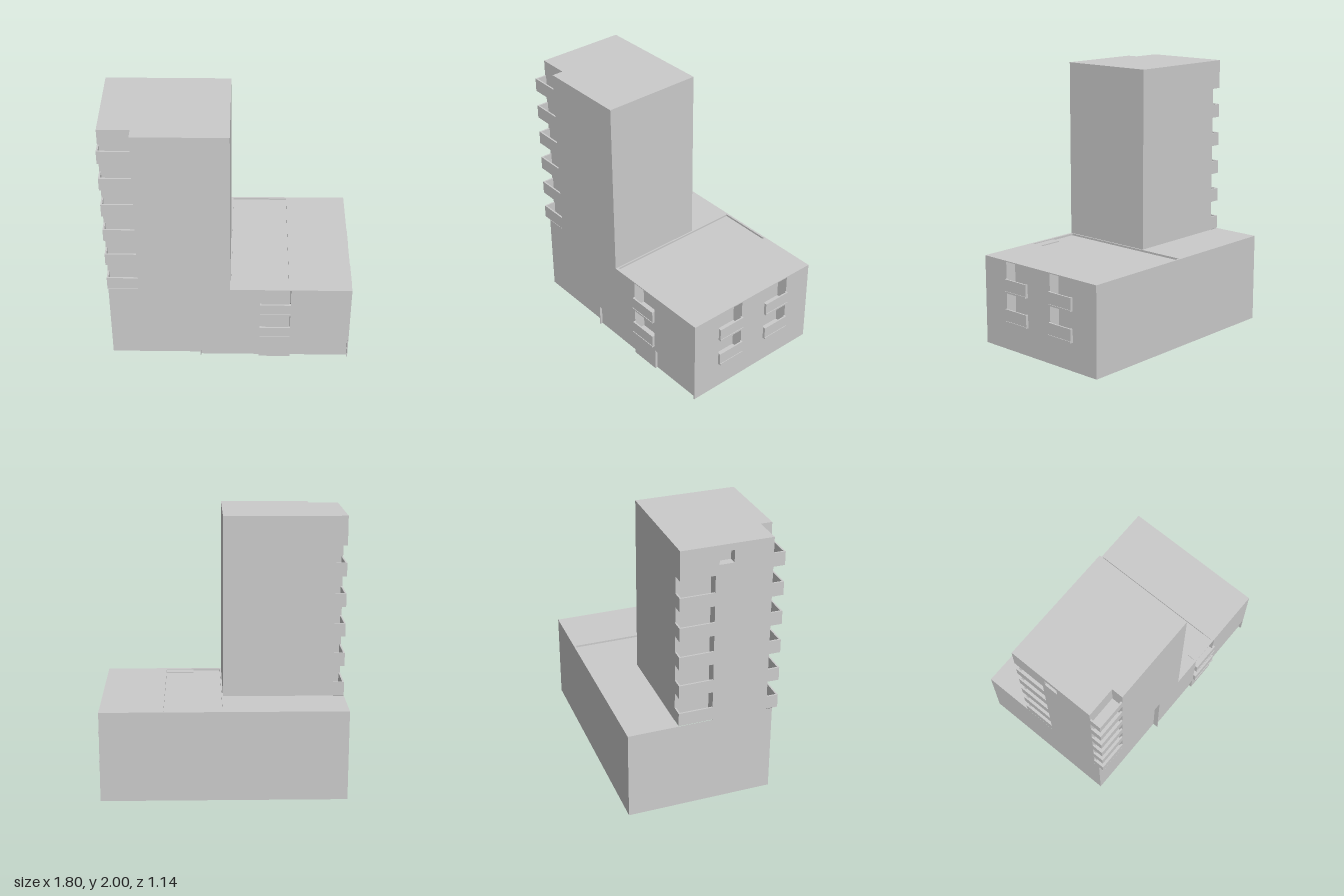
import * as THREE from 'three';

const material = new THREE.MeshStandardMaterial({ color: 0xcccccc, flatShading: true, side: THREE.DoubleSide });
const FACES = ['right', 'left', 'top', 'bottom', 'front', 'back'];

// main dimensions
const L = -0.905, R = 0.873, FRONT = 0.545, BACK = -0.57, ROOF = 0.667, TOP = 2;
const TX = -0.015, TZ = -0.2;             // tower's inner side and back
const NX = -0.68, NZ = 0.46;              // front corner notch
const BX = -0.825, BZ = 0.05, BTOP = 1.785; // rear corner notch
const SET = 0.505;                        // set-back ground-floor wall
const DEPTH = 0.085;

export function createModel() {
  const model = new THREE.Group();

  const add = (name, geometry, parent = model) => {
    const mesh = new THREE.Mesh(geometry, material);
    mesh.name = name;
    parent.add(mesh);
    return mesh;
  };

  // box given by its limits; keeps only the listed faces (all if none given)
  const box = (name, x0, x1, y0, y1, z0, z1, keep = FACES, parent = model) => {
    const g = new THREE.BoxGeometry(x1 - x0, y1 - y0, z1 - z0);
    g.translate((x0 + x1) / 2, (y0 + y1) / 2, (z0 + z1) / 2);
    const index = Array.from(g.index.array);
    g.setIndex(index.filter((_, i) => keep.includes(FACES[Math.floor(i / 6)])));
    g.clearGroups();
    return add(name, g, parent);
  };

  const rect = (a0, a1, b0, b1) => [[a0, b0], [a1, b0], [a1, b1], [a0, b1]];
  const toPoints = (list) => list.map(([a, b]) => new THREE.Vector2(a, b));

  // flat wall with openings, facing along the given axis
  const wall = (name, axis, at, outline, holes = []) => {
    const shape = new THREE.Shape(toPoints(outline));
    holes.forEach((h) => shape.holes.push(new THREE.Path(toPoints(h))));
    const g = new THREE.ShapeGeometry(shape);
    if (axis === 'x') g.rotateY(-Math.PI / 2).translate(at, 0, 0);
    if (axis === 'y') g.rotateX(Math.PI / 2).translate(0, at, 0);
    if (axis === 'z') g.translate(0, 0, at);
    return add(name, g);
  };

  // front, one plane for the tower and the low wing
  wall('frontWall', 'z', FRONT, [
    [-0.24, 0], [-0.24, ROOF], [NX, ROOF], [NX, TOP], [TX, TOP], [TX, ROOF], [R, ROOF], [R, 0],
    [0.865, 0], [0.865, 0.17], [0.435, 0.17], [0.435, 0], [0.2, 0], [0.2, 0.17], [-0.235, 0.17], [-0.235, 0],
  ], [rect(0.205, 0.43, 0.21, 0.66)]);
  box('setBackWall', L, -0.24, 0, ROOF, SET, FRONT, ['back', 'right', 'top']);
  [[-0.235, 0.2], [0.435, 0.865]].forEach(([a, b]) =>
    box('groundFloorPanel', a, b, 0, 0.17, FRONT - 0.02, FRONT, ['back', 'left', 'right', 'top']));

  // remaining outer walls
  const sideBays = [[0.1, 0.32], [-0.345, -0.125]];
  wall('rightWall', 'x', R, rect(BACK, FRONT, 0, ROOF), sideBays.map(([a, b]) => rect(a, b, 0.21, 0.66)));
  wall('backWall', 'z', BACK, rect(L, R, 0, ROOF));
  wall('leftWall', 'x', L, rect(BACK, SET, 0, ROOF));
  wall('towerLeftWall', 'x', L,
    [[BZ, ROOF], [NZ, ROOF], [NZ, TOP], [TZ, TOP], [TZ, BTOP], [BZ, BTOP]],
    [rect(0.075, 0.18, 1.86, 1.95)]);
  wall('towerBackWall', 'z', TZ,
    [[BX, ROOF], [TX, ROOF], [TX, TOP], [L, TOP], [L, BTOP], [BX, BTOP]]);
  wall('towerRightWall', 'x', TX, rect(TZ, FRONT, ROOF, TOP));
  box('smallWindow', L, L + 0.06, 1.86, 1.95, 0.075, 0.18, ['right', 'top', 'bottom', 'front', 'back']);

  // roofs, the low one with a shallow sunken panel
  wall('towerRoof', 'y', TOP, [[L, TZ], [TX, TZ], [TX, FRONT], [NX, FRONT], [NX, NZ], [L, NZ]]);
  wall('wingRoof', 'y', ROOF,
    [[L, BACK], [R, BACK], [R, FRONT], [TX, FRONT], [TX, TZ], [L, TZ]],
    [rect(-0.005, 0.415, -0.555, 0.525)]);
  box('roofPanel', -0.005, 0.415, ROOF - 0.015, ROOF, -0.555, 0.525,
    ['bottom', 'left', 'right', 'front', 'back']);

  // tower corner notches
  box('frontNotch', L, NX, ROOF, TOP, NZ, FRONT, ['back', 'right']);
  box('rearNotch', L, BX, ROOF, BTOP, TZ, BZ, ['right', 'front', 'top']);

  // open balconies stacked in the notches
  const T = 0.012;
  for (let i = 0; i < 6; i++) {
    const y = 0.67 + i * 0.2225, h = y + 0.1;
    const front = new THREE.Group();
    front.name = 'frontCornerBalcony';
    model.add(front);
    box('floor', L, NX, y, y + T, NZ, FRONT, FACES, front);
    box('frontParapet', L, NX, y + T, h, FRONT - T, FRONT, FACES, front);
    box('sideParapet', L, L + T, y + T, h, NZ, FRONT - T, FACES, front);
    if (i === 5) continue;
    const rear = new THREE.Group();
    rear.name = 'rearCornerBalcony';
    model.add(rear);
    box('floor', L, BX, y, y + T, TZ, BZ, FACES, rear);
    box('sideParapet', L, L + T, y + T, h, TZ, BZ, FACES, rear);
    box('backParapet', L + T, BX, y + T, h, TZ, TZ + T, FACES, rear);
  }

  // two-storey bay with projecting balconies, facing +z around the origin
  const bay = (width) => {
    const g = new THREE.Group(), w = width / 2, out = 0.02;
    g.name = 'balconyBay';
    box('recess', -w, w, 0.21, 0.66, -DEPTH, 0, ['back', 'left', 'right', 'top'], g);
    [0.21, 0.435].forEach((y) => {
      box('floor', -w, w, y, y + T, -DEPTH, out + 0.005, FACES, g);
      box('parapet', -w, w, y + T, y + 0.1, out - T, out, FACES, g);
      [-1, 1].forEach((s) => {
        const c = s * (w - T / 2);
        box('parapetEnd', c - T / 2, c + T / 2, y + T, y + 0.1, 0, out - T, FACES, g);
      });
    });
    model.add(g);
    return g;
  };
  bay(0.225).position.set(0.3175, 0, FRONT);
  sideBays.forEach(([a, b]) => {
    const g = bay(b - a);
    g.rotation.y = Math.PI / 2;
    g.position.set(R, 0, (a + b) / 2);
  });

  return model;
}
